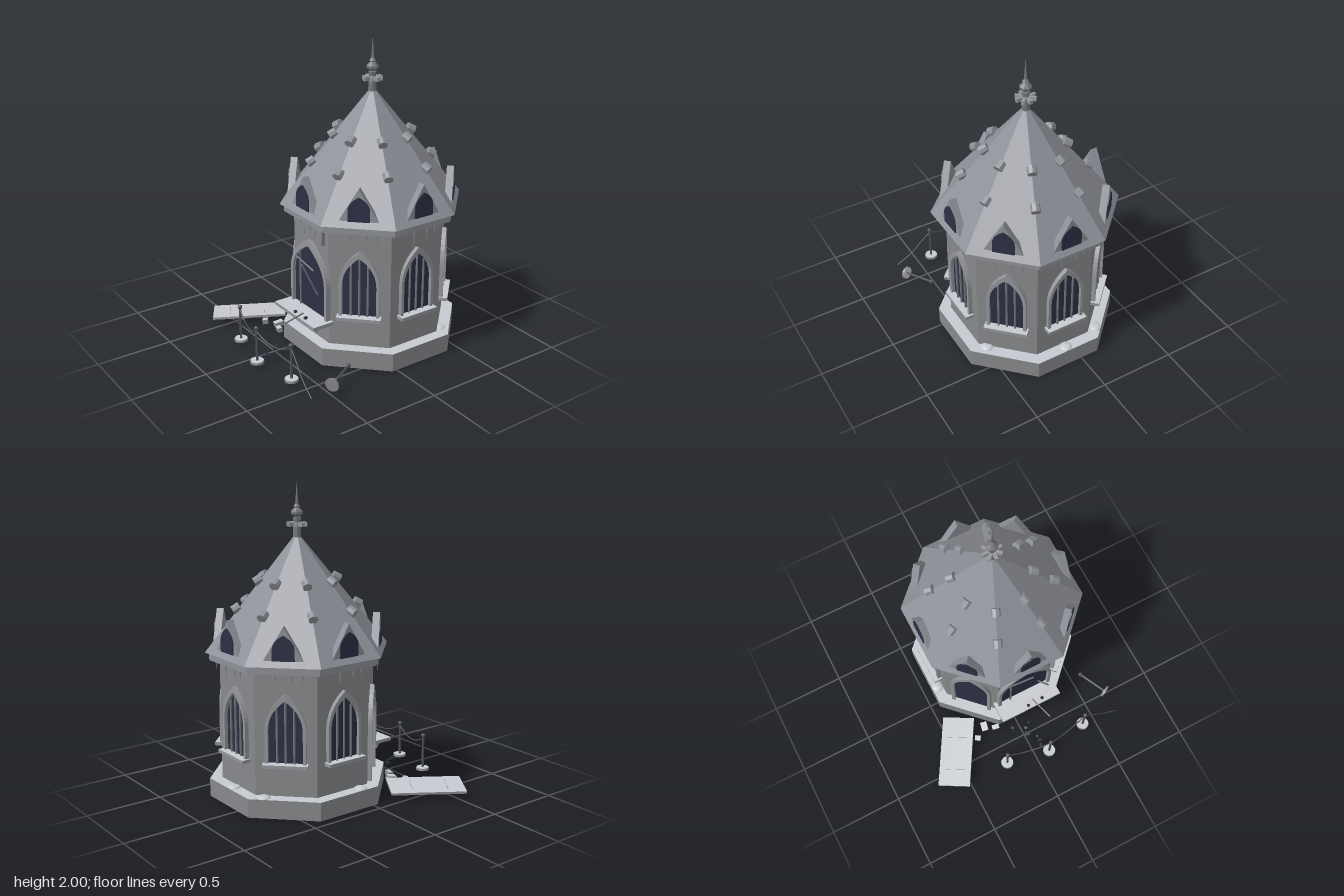
import * as THREE from 'three';

const mat = (name, color) => {
  const m = new THREE.MeshStandardMaterial({ color });
  m.name = name;
  return m;
};

export function createModel() {
  const stone = mat('wall stone', 0x87888b);
  const roofMat = mat('roof slate', 0x8d9097);
  const trim = mat('trim stone', 0x94969a);
  const pale = mat('pale dust', 0xc6c9cf);
  const glass = mat('dark glass', 0x2b3044);
  const bar = mat('grey metal', 0x74767b);
  const iron = mat('iron', 0x505257);
  const shard = mat('shards', 0x2b2f3c);

  const root = new THREE.Group();
  const kiosk = new THREE.Group();
  kiosk.name = 'kiosk';
  kiosk.position.set(0.1, 0, -0.19);
  root.add(kiosk);

  const add = (parent, name, geo, material, x = 0, y = 0, z = 0) => {
    const m = new THREE.Mesh(geo, material);
    m.name = name;
    m.position.set(x, y, z);
    parent.add(m);
    return m;
  };
  const flat = (geo) => {
    const g = geo.toNonIndexed();
    g.computeVertexNormals();
    return g;
  };
  const box = (w, h, d) => new THREE.BoxGeometry(w, h, d);
  // pale upper face on boxes and cylinders
  const boxTop = (m) => [m, m, pale, m, m, m];
  const roundTop = (m) => [m, pale, m];
  const UP = new THREE.Vector3(0, 1, 0);
  // straight round bar between two points
  const rod = (parent, name, a, b, r, material) => {
    const p = new THREE.Vector3(...a), q = new THREE.Vector3(...b);
    const d = q.clone().sub(p);
    const m = add(parent, name, new THREE.CylinderGeometry(r, r, d.length(), 8), material);
    m.position.copy(p).add(q).multiplyScalar(0.5);
    m.quaternion.setFromUnitVectors(UP, d.normalize());
  };
  // octagonal tier given by apothems, with a flat side to the front
  const tier = (name, top, bottom, y0, y1, material) => {
    const k = 1 / Math.cos(Math.PI / 8);
    const g = new THREE.CylinderGeometry(top * k, bottom * k, y1 - y0, 8);
    g.rotateY(Math.PI / 8);
    add(kiosk, name, flat(g), material, 0, (y0 + y1) / 2, 0);
  };

  // main body
  tier('plinth', 0.54, 0.54, 0, 0.12, roundTop(stone));
  tier('walls', 0.465, 0.465, 0.12, 0.91, stone);
  tier('eaveBand', 0.525, 0.525, 0.9, 0.955, roofMat);
  tier('roof', 0.004, 0.55, 0.95, 1.68, roofMat);

  // pointed arch outline, left foot over the apex to the right foot
  const archPoints = (w, y0, ys, yt) => {
    const c = ys + (yt - ys) * 0.6;
    const left = new THREE.QuadraticBezierCurve(
      new THREE.Vector2(-w, ys), new THREE.Vector2(-w, c), new THREE.Vector2(0, yt)).getPoints(9);
    const right = left.slice(0, -1).reverse().map((p) => new THREE.Vector2(-p.x, p.y));
    return [new THREE.Vector2(-w, y0), ...left, ...right, new THREE.Vector2(w, y0)];
  };
  const extrude = (points, depth) =>
    new THREE.ExtrudeGeometry(new THREE.Shape(points), { depth, bevelEnabled: false });
  const archway = (face, name, w, rim, y0, ys, yt) => {
    const inner = archPoints(w - rim, y0, ys, yt - rim * 2);
    add(face, name + 'Glass', extrude(inner, 0.006), glass, 0, 0, 0.463);
    const ring = [...archPoints(w, y0, ys, yt), ...inner.slice().reverse()];
    add(face, name + 'Frame', extrude(ring, 0.035), trim, 0, 0, 0.457);
  };

  for (let k = 0; k < 8; k++) {
    const face = new THREE.Group();
    face.name = 'side' + k;
    face.rotation.y = (k * Math.PI) / 4;
    kiosk.add(face);

    if (k === 0) {
      // serving window with broken bars, counter and sign
      archway(face, 'servingWindow', 0.2, 0.022, 0.27, 0.5, 0.77);
      add(face, 'counter', box(0.45, 0.022, 0.15), boxTop(trim), 0, 0.271, 0.527);
      const bracket = [[0.465, 0.26], [0.57, 0.26], [0.53, 0.2], [0.515, 0.245], [0.465, 0.25]]
        .map(([z, y]) => new THREE.Vector2(-z, y));
      for (const x of [-0.15, 0.15])
        add(face, 'counterBracket', extrude(bracket, 0.025), trim, x - 0.0125, 0, 0).rotation.y = Math.PI / 2;
      rod(face, 'windowBar', [-0.105, 0.28, 0.48], [-0.105, 0.69, 0.48], 0.006, bar);
      rod(face, 'bentBar', [-0.17, 0.605, 0.48], [0.06, 0.578, 0.49], 0.006, bar);
      rod(face, 'looseBar', [0.105, 0.67, 0.605], [0.105, 0.43, 0.49], 0.006, bar);
      rod(face, 'fallenBar', [0.03, 0.288, 0.55], [0.08, 0.288, 0.72], 0.005, bar);
      add(face, 'signPanel', box(0.305, 0.095, 0.03), stone, 0, 0.827, 0.475);
      // one whole round boss and one broken half
      const boss = (arc) => {
        const g = new THREE.CylinderGeometry(0.033, 0.033, 0.006, 16, 1, false, 0, arc);
        return g.rotateX(Math.PI / 2);
      };
      add(face, 'signBoss', boss(Math.PI * 2), stone, -0.06, 0.827, 0.492);
      add(face, 'brokenBoss', boss(Math.PI), stone, 0.045, 0.827, 0.492).rotation.z = -0.25;
    } else if (k === 7) {
      archway(face, 'door', 0.142, 0.022, 0.12, 0.46, 0.72);
    } else {
      // barred window with a sill
      archway(face, 'window', 0.127, 0.02, 0.335, 0.54, 0.77);
      add(face, 'sill', box(0.28, 0.022, 0.07), boxTop(trim), 0, 0.325, 0.487);
      for (const i of [-1, 0, 1])
        rod(face, 'windowBar', [i * 0.053, 0.335, 0.477], [i * 0.053, i ? 0.675 : 0.73, 0.477], 0.007, bar);
    }

    // gabled dormer
    const gable = [[-0.14, 0.955], [0.14, 0.955], [0, 1.19]].map((p) => new THREE.Vector2(...p));
    add(face, 'dormer', extrude(gable, 0.045), roofMat, 0, 0, 0.478);
    add(face, 'dormerGlass', extrude(archPoints(0.068, 0.985, 1.05, 1.14), 0.009), glass, 0, 0, 0.521);

    // hanging drips under the eave
    [-0.053, 0.048, 0.11].forEach((x, i) => {
      const h = 0.06 + ((i * 5 + k * 3) % 7) * 0.01;
      const d = add(face, 'drip', new THREE.ConeGeometry(0.007, h, 5), stone, x, 0.905 - h / 2, 0.505);
      d.rotation.x = Math.PI;
    });

    // stubby knobs lying along the roof hip
    const hip = new THREE.Group();
    hip.name = 'hipKnobs';
    hip.rotation.y = ((k + 0.5) * Math.PI) / 4;
    kiosk.add(hip);
    for (const r of [0.25, 0.39]) {
      const knob = add(hip, 'knob', flat(new THREE.CylinderGeometry(0.03, 0.03, 0.052, 8)), roofMat,
        0, 1.68 - 1.226 * r + 0.018, r + 0.002);
      knob.rotation.x = 2.1;
    }
  }

  // finial
  add(kiosk, 'finialStem', new THREE.CylinderGeometry(0.022, 0.027, 0.14, 8), bar, 0, 1.7, 0);
  for (let i = 0; i < 4; i++)
    add(kiosk, 'finialArm', box(0.13, 0.025, 0.02), trim, 0, 1.733, 0).rotation.y = (i * Math.PI) / 4;
  const tip = [[0, 1.745], [0.024, 1.755], [0.026, 1.775], [0.016, 1.778], [0.038, 1.797], [0.038, 1.812],
    [0.014, 1.836], [0.022, 1.842], [0.01, 1.858], [0, 2]].map((p) => new THREE.Vector2(...p));
  add(kiosk, 'finialSpike', flat(new THREE.LatheGeometry(tip, 8)), bar);

  // small mounds on the plinth ledge
  for (const [x, z] of [[-0.4, -0.075], [-0.16, -0.64], [0.53, -0.43], [0.1, -0.69]]) {
    const m = add(root, 'mound', new THREE.SphereGeometry(0.042, 10, 5, 0, Math.PI * 2, 0, Math.PI / 2), pale, x, 0.119, z);
    m.scale.y = 0.4;
  }

  // rope barrier
  const stand = (parent, h) => {
    add(parent, 'standBase', new THREE.CylinderGeometry(0.042, 0.045, 0.016, 16), roundTop(stone), 0, 0.008, 0);
    add(parent, 'standPost', new THREE.CylinderGeometry(0.008, 0.008, h, 8), iron, 0, h / 2, 0);
    add(parent, 'standKnob', new THREE.SphereGeometry(0.015, 10, 8), iron, 0, h, 0);
  };
  const posts = [[-0.205, 0.63], [0.1, 0.69], [0.405, 0.63]];
  for (const [x, z] of posts) {
    const s = new THREE.Group();
    s.name = 'barrierStand';
    s.position.set(x, 0.03, z);
    root.add(s);
    stand(s, 0.24);
  }
  const rope = (pts) => {
    const c = new THREE.CatmullRomCurve3(pts.map((p) => new THREE.Vector3(...p)));
    add(root, 'rope', new THREE.TubeGeometry(c, 16, 0.004, 6), iron);
  };
  for (let i = 0; i < 2; i++) {
    const [a, b] = [posts[i], posts[i + 1]];
    rope([0, 0.25, 0.5, 0.75, 1].map((t) =>
      [a[0] + (b[0] - a[0]) * t, 0.25 - 0.2 * t * (1 - t), a[1] + (b[1] - a[1]) * t]));
  }
  rope([[0.405, 0.25, 0.63], [0.47, 0.19, 0.636], [0.55, 0.11, 0.645], [0.66, 0.04, 0.655]]);

  // toppled stand
  const toppled = new THREE.Group();
  toppled.name = 'toppledStand';
  toppled.position.set(0.66, 0.08, 0.51);
  toppled.quaternion.setFromUnitVectors(UP, new THREE.Vector3(-0.105, 0.02, -0.2).normalize());
  root.add(toppled);
  stand(toppled, 0.22);

  // fallen board with seams
  const board = new THREE.Group();
  board.name = 'fallenBoard';
  board.position.set(-0.49, 0.053, 0.398);
  board.rotation.set(0.02, -0.535, 0.1, 'YXZ');
  root.add(board);
  add(board, 'boardPanel', box(0.222, 0.016, 0.49), boxTop(trim));
  for (const z of [-0.1, 0.13]) add(board, 'boardSeam', box(0.14, 0.002, 0.002), bar, 0, 0.008, z);

  // rubble: x, z, width, depth, turn
  for (const [x, z, w, d, turn] of [[-0.23, 0.325, 0.045, 0.062, -0.2],
    [-0.16, 0.365, 0.05, 0.032, -0.2], [-0.31, 0.38, 0.04, 0.035, -0.6]])
    add(root, 'rubble', box(w, 0.03, d), boxTop(stone), x, 0.048, z).rotation.set(0.15, turn, 0.12);

  // shards: x, y, z, size
  const shards = [[-0.055, 0.035, 0.425, 0.014], [0.03, 0.035, 0.468, 0.016], [0.02, 0.038, 0.51, 0.028],
    [0.065, 0.035, 0.442, 0.018], [0.085, 0.29, 0.39, 0.016], [0.195, 0.29, 0.385, 0.018],
    [0.075, 0.036, 0.595, 0.024], [0.065, 0.034, 0.625, 0.014], [0.075, 0.034, 0.56, 0.012]];
  shards.forEach(([x, y, z, s], i) =>
    add(root, 'shard', box(s, s * 0.6, s * 1.2), shard, x, y, z).rotation.set(0.1, i * 0.8 - 0.4, 0.2));

  return root;
}
